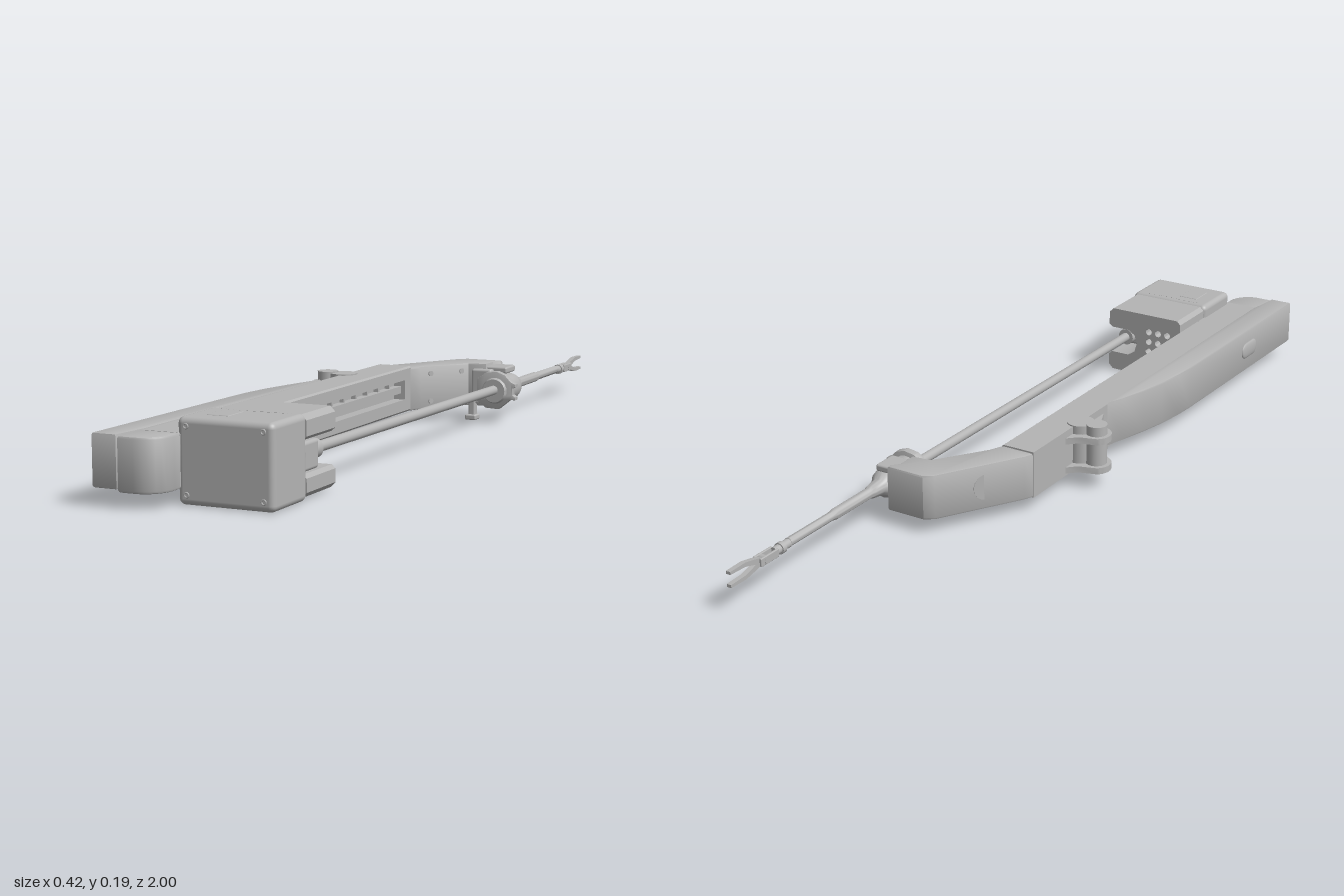
import * as THREE from 'three';
import { toCreasedNormals } from 'three/addons/utils/BufferGeometryUtils.js';
import { RoundedBoxGeometry } from 'three/addons/geometries/RoundedBoxGeometry.js';

export function createModel() {
  const grey = new THREE.MeshStandardMaterial({ color: 0xb4b4b4 });
  grey.name = 'machine grey';
  const root = new THREE.Group();
  root.name = 'instrumentArm';

  const add = (name, geo, parent = root) => {
    const m = new THREE.Mesh(geo, grey);
    m.name = name;
    parent.add(m);
    return m;
  };
  const group = (name) => {
    const g = new THREE.Group();
    g.name = name;
    root.add(g);
    return g;
  };
  const poly = (pts) => new THREE.Shape(pts.map(([x, y]) => new THREE.Vector2(x, y)));
  // Block given by its limits on each axis
  const block = (name, [x0, x1], [y0, y1], [z0, z1], r = 0, parent = root) => {
    const w = x1 - x0, h = y1 - y0, d = z1 - z0;
    const g = r ? new RoundedBoxGeometry(w, h, d, 3, r) : new THREE.BoxGeometry(w, h, d);
    g.translate((x0 + x1) / 2, (y0 + y1) / 2, (z0 + z1) / 2);
    return add(name, g, parent);
  };
  // Extrude an xy section along z, keeping the bevel within the limits
  const section = (shape, z0, z1, b = 0) => {
    const g = new THREE.ExtrudeGeometry(shape, {
      depth: z1 - z0 - 2 * b, bevelEnabled: b > 0, bevelSize: b, bevelOffset: -b,
      bevelThickness: b, bevelSegments: 2, curveSegments: 12,
    });
    return toCreasedNormals(g.translate(0, 0, z0 + b), 0.6);
  };
  // Extrude a plan outline of [x, z] points upwards
  const plan = (pts, y0, y1, b = 0) =>
    section(poly(pts.map(([x, z]) => [x, -z])), y0, y1, b).rotateX(-Math.PI / 2);
  // Turned part along -z from [radius, z] pairs
  const turned = (pts, x, y, seg = 24) => {
    const g = new THREE.LatheGeometry(pts.map(([r, z]) => new THREE.Vector2(r, -z)), seg);
    return toCreasedNormals(g.rotateX(-Math.PI / 2).translate(x, y, 0), 0.6);
  };
  // Rod between two points
  const rod = (name, a, b, r, parent = root, r2 = r) => {
    const p = new THREE.Vector3(...a), q = new THREE.Vector3(...b);
    const m = add(name, new THREE.CylinderGeometry(r2, r, p.distanceTo(q), 20), parent);
    m.position.copy(p).add(q).multiplyScalar(0.5);
    m.quaternion.setFromUnitVectors(new THREE.Vector3(0, 1, 0), q.sub(p).normalize());
    return m;
  };

  // Long beam with a rail channel on its inner side
  add('beam', section(poly([
    [-0.128, 0.038], [-0.045, 0.038], [-0.04, 0.043], [-0.04, 0.072], [-0.07, 0.072],
    [-0.07, 0.122], [-0.04, 0.122], [-0.04, 0.15], [-0.045, 0.154], [-0.128, 0.154],
  ]), -0.24, 0.915));
  block('slideRail', [-0.071, -0.05], [0.088, 0.106], [-0.2, 0.64]);
  for (let i = 0; i < 12; i++) {
    const z = -0.15 + i * 0.065;
    block('railTooth', [-0.071, -0.058], [0.106, 0.122], [z, z + 0.008]);
  }
  block('channelEnd', [-0.1, -0.04], [0.06, 0.13], [-0.245, -0.2]);

  // Rounded nose at the front of the beam
  const nose = [[-0.136, 0.912], [-0.136, 0.998]];
  for (let i = 0; i <= 8; i++) {
    const a = (i / 8) * Math.PI / 2;
    nose.push([-0.1 + 0.06 * Math.sin(a), 0.935 + 0.063 * Math.cos(a)]);
  }
  nose.push([-0.04, 0.912]);
  add('beamNose', plan(nose, 0.036, 0.154, 0.006));

  // Tapered outer cover
  add('sideCover', plan([
    [-0.128, 0.1], [-0.145, 0.15], [-0.163, 0.22], [-0.178, 0.29], [-0.187, 0.36], [-0.19, 0.42],
    [-0.197, 0.998], [-0.14, 0.998], [-0.128, 0.9],
  ], 0.042, 0.157, 0.005));
  const pill = add('coverButton', new THREE.CapsuleGeometry(0.022, 0.04, 6, 16));
  pill.rotation.x = Math.PI / 2;
  pill.scale.x = 0.25;
  pill.position.set(-0.194, 0.1, 0.75);

  // Bent wrist of the arm
  add('bentWrist', plan([
    [-0.128, -0.235], [-0.117, -0.262], [0.0, -0.458], [0.022, -0.474], [0.12, -0.474], [0.12, -0.462],
    [0.105, -0.445], [0.105, -0.395], [0.058, -0.39], [-0.025, -0.27], [-0.04, -0.235],
  ], 0.038, 0.15, 0.005));
  rod('wristButton', [-0.053, 0.094, -0.34], [-0.066, 0.094, -0.347], 0.032);
  for (const y of [0.058, 0.13])
    for (const t of [0.2, 0.85])
      rod('wristScrew', [-0.025 + 0.083 * t - 0.01, y, -0.27 - 0.12 * t - 0.005],
        [-0.025 + 0.083 * t + 0.002, y, -0.27 - 0.12 * t + 0.0015], 0.007);

  // Hinge lugs and pin on the outer side
  const hinge = group('mountHinge');
  const lug = [[-0.125, -0.1], [-0.15, -0.075]];
  for (let i = 0; i <= 10; i++) {
    const a = -0.9 + (i / 10) * 1.8;
    lug.push([-0.17 - 0.04 * Math.cos(a), -0.03 + 0.04 * Math.sin(a)]);
  }
  lug.push([-0.15, 0.03], [-0.125, 0.09]);
  for (const y of [0.044, 0.12]) add('hingeLug', plan(lug, y, y + 0.016), hinge);
  rod('hingePin', [-0.174, 0.04, -0.03], [-0.174, 0.16, -0.03], 0.026, hinge);
  rod('hingeBarrel', [-0.13, 0.046, -0.03], [-0.13, 0.157, -0.03], 0.034, hinge);

  // Drive unit: front housing with corner screws
  const drive = group('driveUnit');
  block('driveHousing', [-0.049, 0.176], [0.003, 0.187], [0.765, 0.912], 0.014, drive);
  for (const x of [-0.027, 0.152])
    for (const y of [0.025, 0.168]) {
      const ring = add('cornerScrew', new THREE.TorusGeometry(0.005, 0.0018, 8, 16), drive);
      ring.position.set(x, y, 0.912);
    }
  block('topHatch', [-0.002, 0.05], [0.184, 0.1885], [0.805, 0.87], 0.002, drive);
  for (let i = 0; i < 9; i++)
    block('topVent', [-0.015 + i * 0.018, -0.005 + i * 0.018], [0.184, 0.1875], [0.782, 0.788], 0, drive);

  // Rear housing with an open slot for the tool and a vent grid
  const rear = poly([
    [-0.034, 0.008], [0.162, 0.008], [0.174, 0.02], [0.174, 0.05], [0.165, 0.058], [0.115, 0.058],
    [0.095, 0.07], [0.088, 0.094], [0.095, 0.118], [0.115, 0.13], [0.165, 0.13], [0.174, 0.138],
    [0.174, 0.172], [0.162, 0.184], [-0.034, 0.184], [-0.044, 0.174], [-0.044, 0.018],
  ]);
  for (let i = 0; i < 3; i++)
    for (let j = 0; j < 4; j++) {
      const hole = new THREE.Path();
      hole.absarc(-0.005 + i * 0.028, 0.052 + j * 0.028, 0.009, 0, Math.PI * 2, true);
      rear.holes.push(hole);
    }
  add('rearHousing', section(rear, 0.632, 0.766), drive);
  block('toolBase', [0.09, 0.17], [0.062, 0.126], [0.7, 0.77], 0.008, drive);
  rod('toolCollar', [0.138, 0.096, 0.71], [0.138, 0.096, 0.66], 0.022, drive);
  block('carriage', [-0.068, -0.035], [0.08, 0.116], [0.64, 0.9], 0, drive);

  // Instrument shaft
  rod('longShaft', [0.138, 0.096, 0.72], [0.15, 0.09, -0.36], 0.012);

  // Guide sleeve with flange and clamp
  const guide = group('guideSleeve');
  add('sleeveBody', turned([
    [0, -0.335], [0.03, -0.335], [0.038, -0.35], [0.038, -0.43], [0.033, -0.452], [0.02, -0.47],
    [0.016, -0.5], [0.013, -0.51], [0.013, -0.635], [0.0105, -0.65], [0.0105, -0.8], [0, -0.8],
  ], 0.15, 0.088), guide);
  const wing = poly([
    [0.1, 0.06], [0.125, 0.042], [0.16, 0.04], [0.18, 0.056], [0.192, 0.066], [0.207, 0.066], [0.207, 0.074],
    [0.199, 0.079], [0.199, 0.096], [0.207, 0.1], [0.207, 0.107], [0.195, 0.112], [0.178, 0.13],
    [0.155, 0.138], [0.125, 0.134], [0.1, 0.115],
  ]);
  add('sleeveFlange', section(wing, -0.362, -0.342, 0.002), guide);
  block('clampBlock', [0.07, 0.125], [0.052, 0.136], [-0.45, -0.38], 0.006, guide);
  block('clampCap', [0.09, 0.16], [0.125, 0.142], [-0.465, -0.4], 0.005, guide);
  block('clampLever', [0.076, 0.094], [0.012, 0.065], [-0.364, -0.344], 0.004, guide);
  block('leverFoot', [0.07, 0.1], [0.008, 0.022], [-0.368, -0.335], 0.004, guide);
  block('leverArm', [0.076, 0.12], [0.05, 0.068], [-0.385, -0.35], 0.004, guide);

  // Jointed wrist and open jaws at the tip
  const tip = group('gripper');
  rod('tipShaft', [0.15, 0.087, -0.8], [0.15, 0.086, -0.85], 0.0105, tip);
  rod('tipCollar', [0.15, 0.086, -0.82], [0.15, 0.086, -0.832], 0.0135, tip);
  for (const s of [-1, 1])
    block('wristFork', [0.15 + s * 0.009 - 0.003, 0.15 + s * 0.009 + 0.003], [0.076, 0.096], [-0.905, -0.845], 0.002, tip);
  rod('wristPin', [0.137, 0.086, -0.885], [0.163, 0.086, -0.885], 0.009, tip);
  for (const s of [-1, 1]) {
    const jaw = section(poly([[-0.88, 0], [-0.91, s * 0.012], [-0.95, s * 0.02], [-0.998, s * 0.019],
      [-0.998, s * 0.012], [-0.95, s * 0.01], [-0.905, -s * 0.003]]), -0.006, 0.006);
    jaw.rotateY(-Math.PI / 2).translate(0.15, 0.086, 0);
    add('jaw', jaw, tip);
  }
  return root;
}
